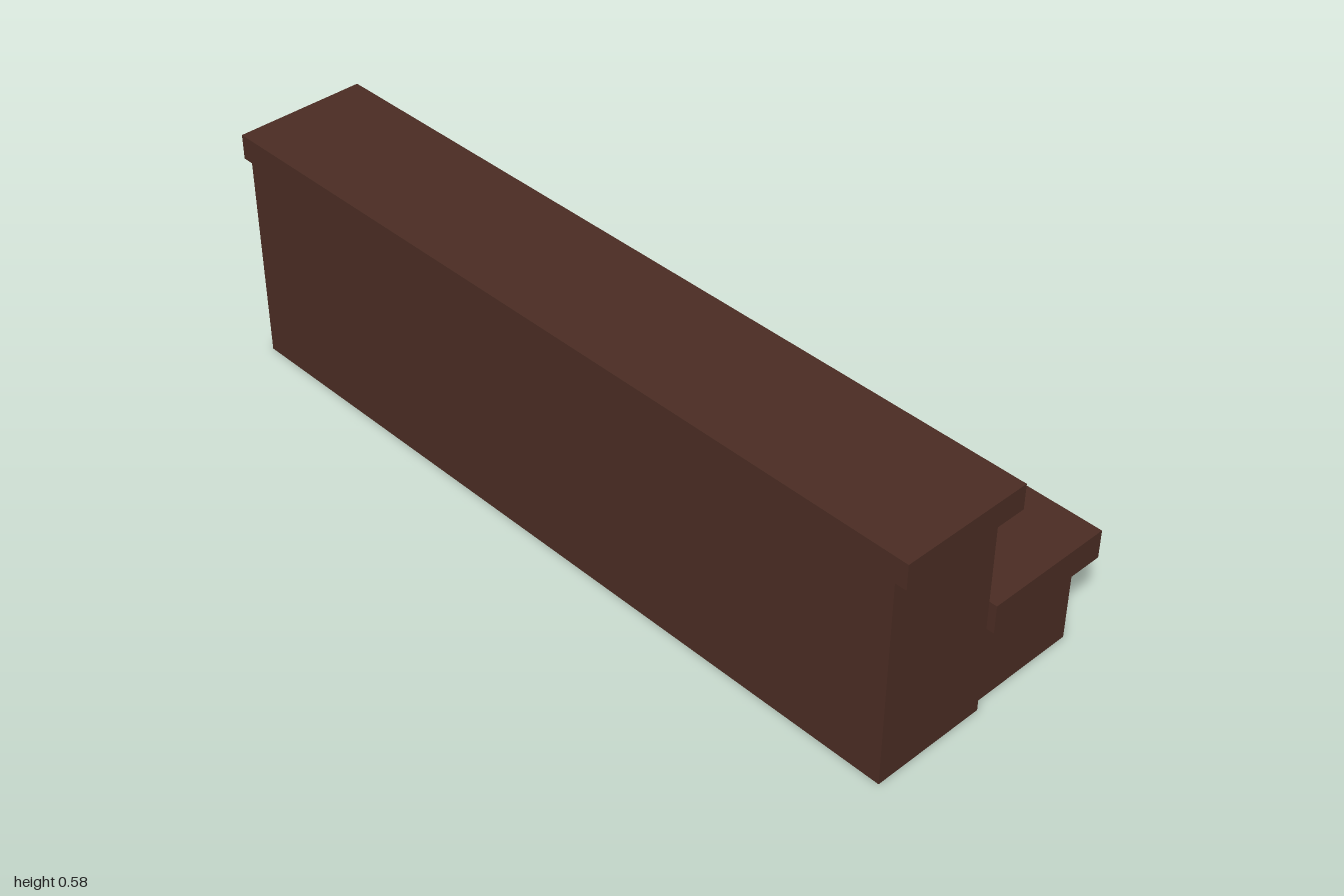
import * as THREE from 'three';

export function createModel() {
  const model = new THREE.Group();
  const darkWood = new THREE.MeshStandardMaterial({ color: 0x4a2c23, side: THREE.DoubleSide });
  darkWood.name = 'darkWood';

  const add = (name, geometry, x, y, z) => {
    const mesh = new THREE.Mesh(geometry, darkWood);
    mesh.name = name;
    mesh.position.set(x, y, z);
    model.add(mesh);
    return mesh;
  };
  // Solid tread between opposite corners
  const slab = (name, x0, x1, y0, y1, z0, z1) =>
    add(name, new THREE.BoxGeometry(x1 - x0, y1 - y0, z1 - z0), (x0 + x1) / 2, (y0 + y1) / 2, (z0 + z1) / 2);
  // Thin upright panel across the width, turned to face front or back
  const crossPanel = (name, x0, x1, y0, y1, z, back) => {
    const mesh = add(name, new THREE.PlaneGeometry(x1 - x0, y1 - y0), (x0 + x1) / 2, (y0 + y1) / 2, z);
    if (back) mesh.rotation.y = Math.PI;
  };
  // Thin upright end panel, turned outward
  const endPanel = (name, x, y1, z0, z1) => {
    const mesh = add(name, new THREE.PlaneGeometry(z1 - z0, y1), x, y1 / 2, (z0 + z1) / 2);
    mesh.rotation.y = Math.sign(x) * Math.PI / 2;
  };

  const tallW = 0.972, lowW = 0.956; // half widths of the two hollow bodies
  const front = 0.308, middle = 0.016, back = -0.275;
  const tallTop = 0.521, lowTop = 0.221;

  // Hollow bodies, open underneath and joined inside
  crossPanel('frontPanel', -tallW, tallW, 0, tallTop, front, false);
  crossPanel('upperRiser', -tallW, tallW, lowTop, tallTop, middle, true);
  crossPanel('lowerRiser', -lowW, lowW, 0, lowTop, back, true);
  for (const [side, s] of [['left', 1], ['right', -1]]) {
    endPanel(side + 'TallEnd', s * tallW, tallTop, middle, front);
    endPanel(side + 'LowEnd', s * lowW, lowTop, back, middle);
    // Narrow return where the tall body is wider than the low one
    crossPanel(side + 'Return', Math.min(s * lowW, s * tallW), Math.max(s * lowW, s * tallW), 0, lowTop, middle, true);
  }

  // Overhanging treads
  slab('upperTread', -1, 1, tallTop, 0.583, -0.02, front);
  slab('lowerTread', -0.997, 0.991, lowTop, 0.292, -0.307, middle);

  return model;
}
